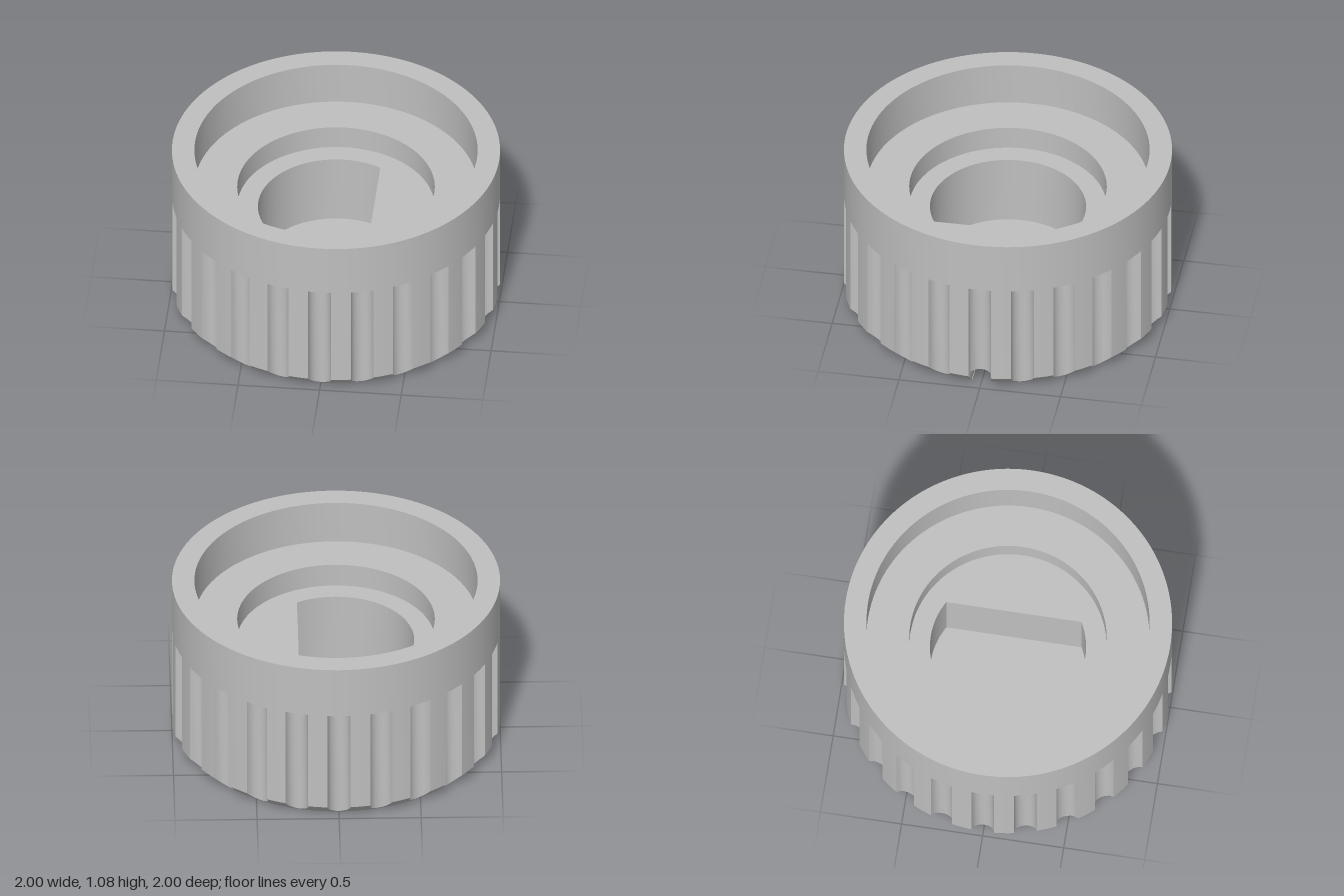
import * as THREE from 'three';
import { toCreasedNormals } from 'three/addons/utils/BufferGeometryUtils.js';

const HEIGHT = 1.08, FLUTES = 24, FLUTE_R = 0.07, FLUTE_TOP = 0.745;
const CHAMFER = 0.08, BASE_R = 1 - CHAMFER;
const SLOT_W = 0.0625, SLOT_H = 0.095, SLOT_IN = 0.53;
const RIM_R = 0.863, RIM_Y = 0.8, BORE_R = 0.602, BORE_Y = 0.65;
const SHAFT_R = 0.476, FLAT_X = 0.23, SHAFT_Y = 0.2;

// Builds a creased surface from a list of four-cornered faces
function quadSurface(quads) {
  const pos = [];
  for (const [a, b, c, d] of quads) pos.push(...a, ...b, ...c, ...a, ...c, ...d);
  const g = new THREE.BufferGeometry();
  g.setAttribute('position', new THREE.Float32BufferAttribute(pos, 3));
  return toCreasedNormals(g, Math.PI / 6);
}

// Points on an arc in the plan
function arc(r, from, to, n) {
  return Array.from({ length: n + 1 }, (_, i) => {
    const t = from + (to - from) * i / n;
    return new THREE.Vector2(r * Math.cos(t), r * Math.sin(t));
  });
}

export function createModel() {
  const group = new THREE.Group();
  const grey = new THREE.MeshStandardMaterial({ color: 0xbfbfbf, side: THREE.DoubleSide });
  grey.name = 'grey plastic';
  const add = (name, geometry) => {
    const mesh = new THREE.Mesh(geometry, grey);
    mesh.name = name;
    group.add(mesh);
    return mesh;
  };

  // Plan outline: round flutes with plain lands between them
  const edge = Math.asin(SLOT_W / FLUTE_R);
  const phis = [-Math.PI / 2, -edge, -edge * 2 / 3, -edge / 3, 0, edge / 3, edge * 2 / 3, edge, Math.PI / 2];
  const flute = phis.map(p => {
    const x = 1 - FLUTE_R * Math.cos(p), z = FLUTE_R * Math.sin(p);
    return { a: Math.atan2(z, x), r: Math.min(1, Math.hypot(x, z)) };
  });
  const pitch = Math.PI * 2 / FLUTES;
  const columns = [];
  for (let i = 0; i < FLUTES; i++) {
    for (const f of flute) columns.push({ a: f.a + i * pitch, r: f.r });
    const start = flute[8].a, gap = pitch - 2 * start;
    for (let k = 1; k < 4; k++) columns.push({ a: i * pitch + start + gap * k / 4, r: 1 });
  }

  // Fluted side wall with chamfered foot, open where the pointer slot cuts it
  const at = (c, r, y) => [r * Math.cos(c.a), y, r * Math.sin(c.a)];
  const wall = [];
  columns.forEach((a, i) => {
    const b = columns[(i + 1) % columns.length];
    const cut = i >= 1 && i < 7;
    const band = (ra, ya, rb, yb, ra2, ya2, rb2, yb2) =>
      wall.push([at(a, ra, ya), at(a, ra2, ya2), at(b, rb2, yb2), at(b, rb, yb)]);
    const foot = c => cut ? SLOT_H : c.r - BASE_R;
    band(1, FLUTE_TOP, 1, FLUTE_TOP, 1, HEIGHT, 1, HEIGHT);
    if (a.r < 1 || b.r < 1) band(a.r, FLUTE_TOP, b.r, FLUTE_TOP, 1, FLUTE_TOP, 1, FLUTE_TOP);
    band(a.r, foot(a), b.r, foot(b), a.r, FLUTE_TOP, b.r, FLUTE_TOP);
    if (!cut) band(BASE_R, 0, BASE_R, 0, a.r, foot(a), b.r, foot(b));
  });
  add('flutedWall', quadSurface(wall));

  // Top rim, recess wall, recess floor and bore wall
  const profile = [[1, HEIGHT], [RIM_R, HEIGHT], [RIM_R, RIM_Y], [BORE_R, RIM_Y], [BORE_R, BORE_Y]];
  const recess = new THREE.LatheGeometry(profile.map(p => new THREE.Vector2(...p)), 120);
  add('rimAndRecess', toCreasedNormals(recess, Math.PI / 6));

  // Bore floor pierced by the D-shaped shaft hole
  const flatAngle = Math.acos(FLAT_X / SHAFT_R);
  const dee = arc(SHAFT_R, flatAngle, Math.PI * 2 - flatAngle, 64);
  const ledge = new THREE.Shape(arc(BORE_R, 0, Math.PI * 2, 120).slice(0, -1));
  ledge.holes.push(new THREE.Path(dee));
  add('boreFloor', new THREE.ShapeGeometry(ledge).rotateX(-Math.PI / 2)).position.y = BORE_Y;
  add('shaftHoleWall', quadSurface(dee.map((p, i) => {
    const q = dee[(i + 1) % dee.length];
    return [[p.x, SHAFT_Y, p.y], [q.x, SHAFT_Y, q.y], [q.x, BORE_Y, q.y], [p.x, BORE_Y, p.y]];
  })));
  add('shaftHoleFloor', new THREE.ShapeGeometry(new THREE.Shape(dee)).rotateX(-Math.PI / 2)).position.y = SHAFT_Y;

  // Underside with the notch of the pointer slot
  const s = flute[7].a;
  const base = arc(BASE_R, s, Math.PI * 2 - s, 144);
  base.push(new THREE.Vector2(SLOT_IN, -SLOT_W), new THREE.Vector2(SLOT_IN, SLOT_W));
  add('underside', new THREE.ShapeGeometry(new THREE.Shape(base)).rotateX(Math.PI / 2));

  // Pointer slot: ceiling, end and two sides
  const ceiling = flute.slice(1, 8).map(f => new THREE.Vector2(f.r * Math.cos(f.a), f.r * Math.sin(f.a)));
  const mouth = ceiling[0].x;
  ceiling.push(new THREE.Vector2(SLOT_IN, SLOT_W), new THREE.Vector2(SLOT_IN, -SLOT_W));
  add('slotCeiling', new THREE.ShapeGeometry(new THREE.Shape(ceiling)).rotateX(Math.PI / 2)).position.y = SLOT_H;
  add('slotEnd', new THREE.PlaneGeometry(SLOT_W * 2, SLOT_H).rotateY(Math.PI / 2)).position.set(SLOT_IN, SLOT_H / 2, 0);
  const side = new THREE.Shape([[SLOT_IN, 0], [BASE_R * Math.cos(s), 0], [mouth, flute[7].r - BASE_R],
    [mouth, SLOT_H], [SLOT_IN, SLOT_H]].map(p => new THREE.Vector2(...p)));
  for (const z of [-SLOT_W, SLOT_W]) add('slotSide', new THREE.ShapeGeometry(side)).position.z = z;

  return group;
}
